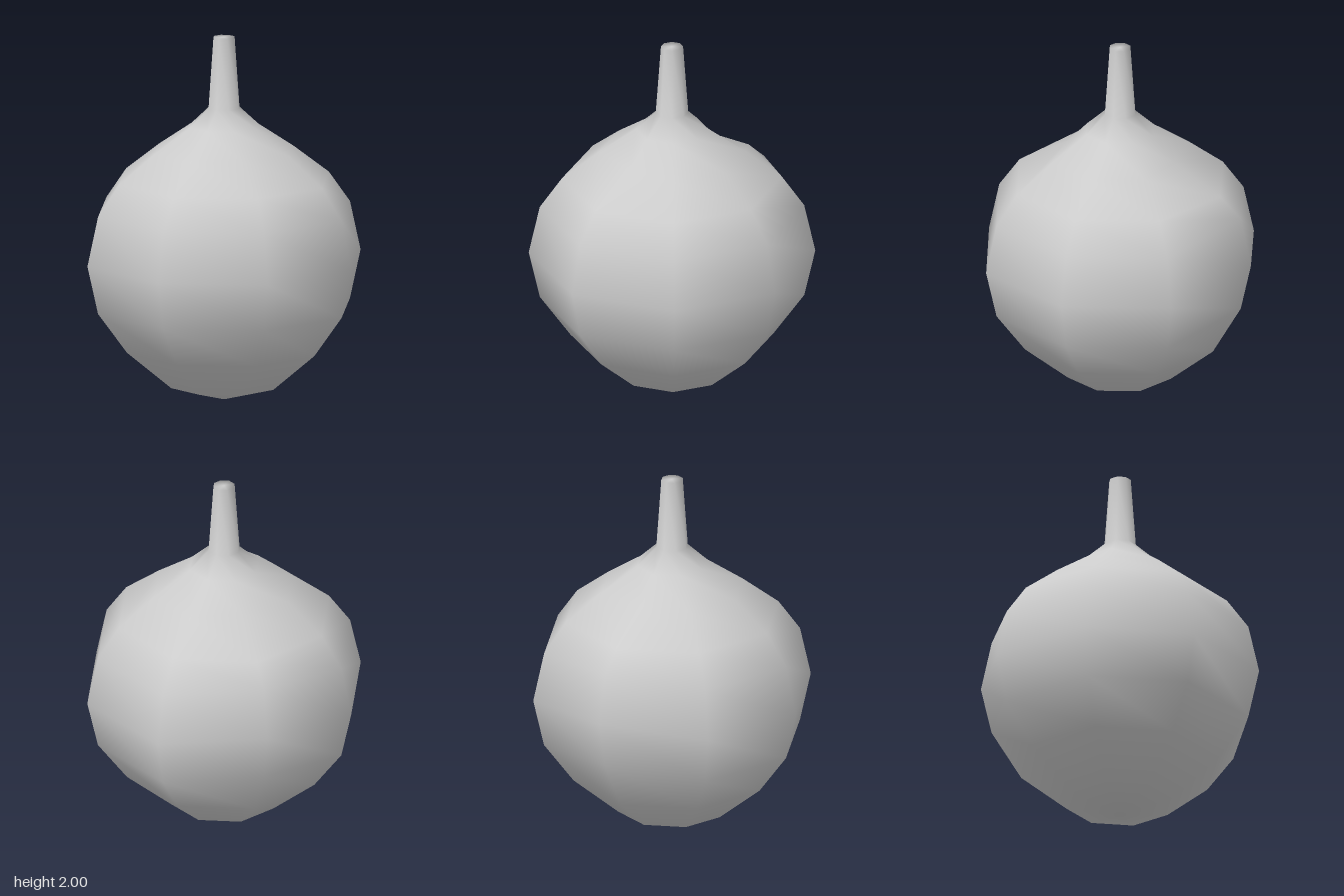
import * as THREE from 'three';
import { mergeVertices } from 'three/addons/utils/BufferGeometryUtils.js';

// [radius, height] from the bottom tip, up the bulb and shoulder, to the stem's flat top
const PROFILE = [
  [0, 0], [0.3, 0.08], [0.55, 0.29], [0.715, 0.515], [0.775, 0.78], [0.715, 1.05],
  [0.595, 1.22], [0.395, 1.375], [0.195, 1.51], [0.088, 1.61], [0.06, 2], [0, 2],
];

export function createModel() {
  const group = new THREE.Group();

  // Eight-sided bulb that flows into a tapering stem
  const lathe = new THREE.LatheGeometry(PROFILE.map(([r, y]) => new THREE.Vector2(r, y)), 8);
  const pos = lathe.attributes.position;
  for (let i = 0; i < pos.count; i++) {
    const x = pos.getX(i), y = pos.getY(i), z = pos.getZ(i);
    const onZ = Math.abs(x) < 0.001;
    // The back corner of the belly sits a little higher
    if (onZ && z < -0.7) pos.setY(i, y + 0.062);
    // The shoulder is pinched at front and back
    if (onZ && Math.abs(y - 1.375) < 0.01) pos.setZ(i, Math.sign(z) * 0.32);
  }

  // Weld the seam so the shading is smooth all round
  lathe.deleteAttribute('uv');
  lathe.deleteAttribute('normal');
  const geometry = mergeVertices(lathe, 0.0001);
  geometry.computeVertexNormals();

  const bulb = new THREE.Mesh(geometry, new THREE.MeshStandardMaterial({ color: 0xcccccc }));
  bulb.name = 'bulbWithStem';
  group.add(bulb);
  return group;
}
